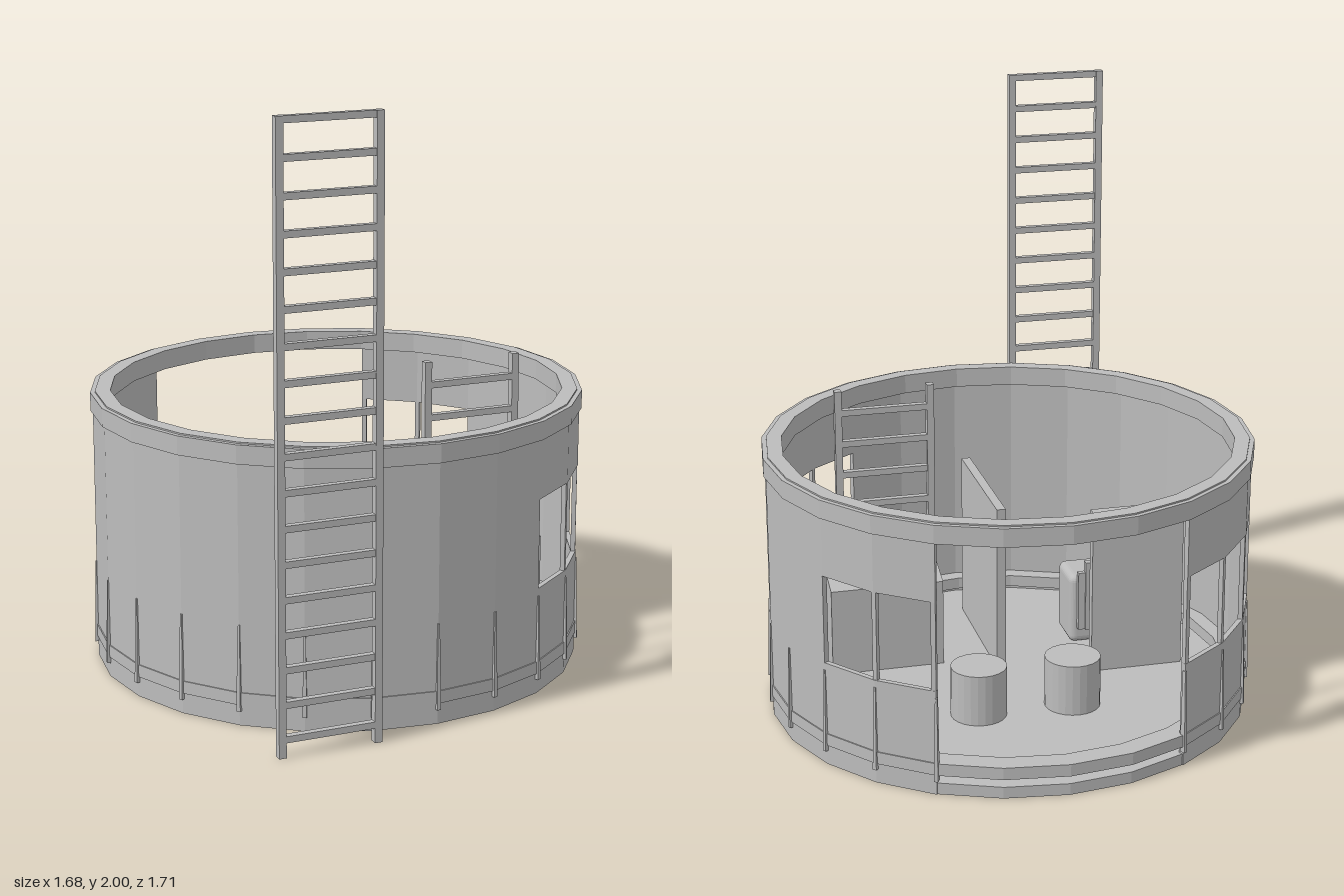
import * as THREE from 'three';
import { RoundedBoxGeometry } from 'three/addons/geometries/RoundedBoxGeometry.js';

const STEP = 15; // the round wall has 24 flat sides
const RAD = Math.PI / 180;

export function createModel() {
  const model = new THREE.Group();
  const grey = new THREE.MeshStandardMaterial({ color: 0xbcbcbc });
  grey.name = 'grey';
  grey.flatShading = true;

  function add(parent, name, geometry, x = 0, y = 0, z = 0) {
    const mesh = new THREE.Mesh(geometry, grey);
    mesh.name = name;
    mesh.position.set(x, y, z);
    parent.add(mesh);
    return mesh;
  }

  // box given by its limits on each axis
  function block(parent, name, x0, x1, y0, y1, z0, z1) {
    return add(parent, name, new THREE.BoxGeometry(x1 - x0, y1 - y0, z1 - z0),
      (x0 + x1) / 2, (y0 + y1) / 2, (z0 + z1) / 2);
  }

  // points on an arc; angles are degrees from the front, positive towards +x
  function arc(radius, from, to) {
    const points = [];
    for (let a = from; a <= to; a += STEP) {
      points.push(new THREE.Vector2(radius * Math.sin(a * RAD), -radius * Math.cos(a * RAD)));
    }
    return points;
  }

  function raise(shape, y0, y1) {
    const geometry = new THREE.ExtrudeGeometry(shape, { depth: y1 - y0, bevelEnabled: false });
    return geometry.rotateX(-Math.PI / 2).translate(0, y0, 0);
  }

  function wallPiece(parent, name, from, to, y0, y1) {
    const outline = [...arc(0.83, from, to), ...arc(0.812, from, to).reverse()];
    add(parent, name, raise(new THREE.Shape(outline), y0, y1));
  }

  function hoop(parent, name, inner, outer, y0, y1) {
    const shape = new THREE.Shape(arc(outer, 0, 345));
    shape.holes.push(new THREE.Path(arc(inner, 0, 345)));
    add(parent, name, raise(shape, y0, y1));
  }

  // round shell, slightly narrower front to back
  const shell = new THREE.Group();
  shell.name = 'shell';
  shell.position.z = -0.03;
  shell.scale.z = 0.988;
  model.add(shell);

  add(shell, 'floor', raise(new THREE.Shape(arc(0.826, 0, 345)), 0, 0.04));
  hoop(shell, 'bottomRing', 0.757, 0.834, 0.07, 0.112);
  hoop(shell, 'topRing', 0.77, 0.838, 0.872, 0.935);
  hoop(shell, 'topLip', 0.77, 0.822, 0.935, 0.94);

  // wall with an open back and three window gaps
  wallPiece(shell, 'lowerWall', -150, 150, 0, 0.365);
  wallPiece(shell, 'frontWall', -105, 30, 0.365, 0.67);
  wallPiece(shell, 'sideWall', 75, 120, 0.365, 0.67);
  wallPiece(shell, 'upperWall', -150, 150, 0.67, 0.935);

  // window posts
  for (const a of [45, 60, 135, 150, -120, -135, -150]) {
    const inset = Math.abs(a) === 150 ? a - Math.sign(a) * 0.6 : a;
    const post = add(shell, 'windowPost', new THREE.BoxGeometry(0.016, 0.305, 0.016),
      0.82 * Math.sin(inset * RAD), 0.5175, 0.82 * Math.cos(inset * RAD));
    post.rotation.y = inset * RAD;
  }

  // tapering fins around the foot of the wall
  const fin = new THREE.BoxGeometry(0.014, 0.29, 0.02);
  const corners = fin.attributes.position;
  for (let i = 0; i < corners.count; i++) {
    if (corners.getY(i) > 0) {
      corners.setX(i, corners.getX(i) * 0.5);
      if (corners.getZ(i) > 0) corners.setZ(i, 0.002);
    }
  }
  fin.computeVertexNormals();
  for (let a = -150; a <= 150; a += STEP) {
    const mesh = add(shell, 'wallFin', fin, 0.831 * Math.sin(a * RAD), 0.195, 0.831 * Math.cos(a * RAD));
    mesh.rotation.y = a * RAD;
  }

  // ladders: two rails and evenly spaced rungs, counted from the top
  function ladder(name, x0, x1, y0, y1, z0, z1, topRung) {
    const group = new THREE.Group();
    group.name = name;
    model.add(group);
    block(group, 'rail', x0, x0 + 0.025, y0, y1, z0, z1);
    block(group, 'rail', x1 - 0.025, x1, y0, y1, z0, z1);
    for (let y = topRung; y > y0 + 0.03; y -= 0.1135) {
      block(group, 'rung', x0 + 0.025, x1 - 0.025, y - 0.011, y + 0.011, z0 + 0.002, z1 - 0.002);
    }
  }
  ladder('outsideLadder', -0.575, -0.225, 0, 2, 0.83, 0.857, 1.989);
  ladder('insideLadder', 0.195, 0.545, 0.36, 1.055, 0.24, 0.268, 0.975);

  // console with a sloping top
  const side = new THREE.Shape([[-0.365, 0.04], [-0.145, 0.04], [-0.145, 0.355], [-0.36, 0.43], [-0.365, 0.43]]
    .map(([u, v]) => new THREE.Vector2(u, v)));
  const slope = new THREE.ExtrudeGeometry(side, { depth: 0.4, bevelEnabled: false });
  add(model, 'console', slope.rotateY(Math.PI / 2), 0.19);

  // room dividers
  block(model, 'longDivider', -0.016, 0.016, 0.04, 0.64, 0.06, 0.595);
  block(model, 'shortDivider', -0.63, -0.3, 0.04, 0.64, -0.05, -0.015);

  // stools
  for (const x of [-0.165, 0.165]) {
    add(model, 'stool', new THREE.CylinderGeometry(0.096, 0.096, 0.18, 24), x, 0.13, -0.28);
  }

  // rounded seat with a low back
  const seat = new THREE.Group();
  seat.name = 'seat';
  model.add(seat);
  add(seat, 'seatBody', new RoundedBoxGeometry(0.285, 0.26, 0.172, 3, 0.025), -0.4325, 0.17, 0.281);
  block(seat, 'seatBack', -0.525, -0.34, 0.1, 0.36, 0.168, 0.196);
  block(seat, 'backFrame', -0.55, -0.315, 0.1, 0.32, 0.175, 0.196);

  return model;
}
